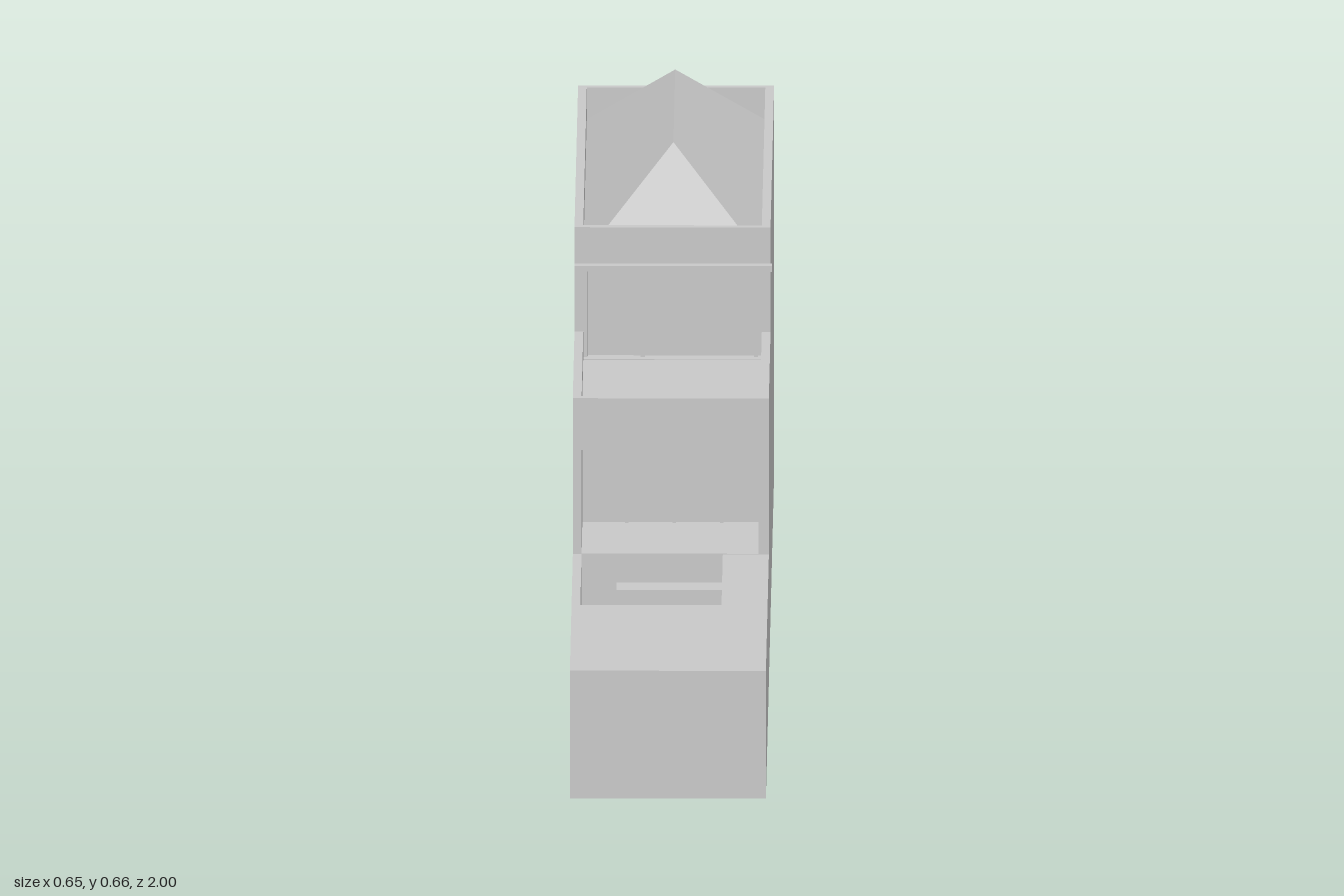
import * as THREE from 'three';

const W = 0.268, T = 0.012;          // house width, wall thickness
const V1 = 0.647, V2 = 1.018, V3 = 1.807, V4 = 2.036; // distances back from the front wall
const Y0 = 0.045, Y1 = 0.225, Y2 = 0.445, Y3 = 0.592; // storey heights

export function createModel() {
  const plaster = new THREE.MeshStandardMaterial({ color: 0xc9c9c9, side: THREE.DoubleSide, flatShading: true });
  plaster.name = 'grey plaster';
  const house = new THREE.Group();
  house.name = 'terracedHouse';

  const add = (name, geometry) => {
    const m = new THREE.Mesh(geometry, plaster);
    m.name = name;
    house.add(m);
    return m;
  };
  // Box by ranges: u across, y up, v towards the back
  const box = (name, u0, u1, y0, y1, v0, v1) => {
    const g = new THREE.BoxGeometry(u1 - u0, y1 - y0, v1 - v0);
    g.translate((u0 + u1) / 2, (y0 + y1) / 2, -(v0 + v1) / 2);
    return add(name, g);
  };
  const path = (pts) => pts.map(([a, b]) => new THREE.Vector2(a, b));
  const rect = (a0, a1, b0, b1) => [[a0, b0], [a1, b0], [a1, b1], [a0, b1]];
  const extrude = (pts, depth, holes = []) => {
    const s = new THREE.Shape(path(pts));
    holes.forEach((h) => s.holes.push(new THREE.Path(path(h))));
    return new THREE.ExtrudeGeometry(s, { depth, bevelEnabled: false });
  };
  // Horizontal slab from a plan outline in (u, v)
  const slab = (name, pts, y, h, holes) =>
    add(name, extrude(pts, h, holes).rotateX(-Math.PI / 2).translate(0, y, 0));
  // Side wall from a profile in (v, y)
  const side = (name, pts, u) =>
    add(name, extrude(pts, T, []).rotateY(Math.PI / 2).translate(u, 0, 0));
  // Cross wall from an outline in (u, y)
  const cross = (name, pts, v, holes) =>
    add(name, extrude(pts, T, holes).translate(0, 0, -v - T));

  // Stepped side walls
  const steps = [[0, Y0], [0, Y1], [V1, Y1], [V1, Y2], [V2, Y2], [V2, Y3], [V3, Y3]];
  side('rightWall', [...steps, [V3, 0.44], [V4, 0.44], [V4, Y0]], 0);
  side('leftWall', [...steps, [V3, Y0]], W - T);

  // Ground slab and deck, both open over the stair pit
  const plan = [[0, 0], [W, 0], [W, V3], [0, V4]];
  slab('groundSlab', plan, Y0, 0.006, [rect(T, W - T, 0.365, 0.66)]);
  slab('deck', plan, Y1 - T, T, [rect(T, 0.205, 0.365, 0.66)]);
  box('frontWall', 0, W, Y0, Y1, 0, T);
  box('pitFrontWall', T, W - T, Y0, Y1 - T, 0.355, 0.365);
  box('pitBackWall', T, W - T, Y0, Y1 - T, 0.66, 0.67);

  // Stair pit landing and flight
  box('pitLanding', T, 0.06, 0, Y0 + 0.004, 0.362, 0.455);
  box('lowerStep', 0.06, 0.247, 0.015, Y0 + 0.004, 0.37, 0.49);
  for (let i = 0; i < 5; i++) {
    box('stairTread', 0.06, 0.205, 0.05 + i * 0.03, 0.062 + i * 0.03, 0.455 + i * 0.041, 0.5 + i * 0.041);
  }

  // Middle storey: open porch with a glazed wall at the back
  cross('porchFront', rect(0, W, Y1, Y2), V1, [rect(T, W - 0.014, Y1 + 0.001, 0.372)]);
  box('porchBackWall', T, W - T, Y1, 0.385, 0.827, 0.837);
  box('porchTransom', T, W - T, 0.335, 0.342, 0.819, 0.827);
  for (const u of [0.07, 0.135, 0.2]) box('porchMullion', u, u + 0.005, Y1, 0.372, 0.821, 0.827);
  box('terraceFloor', T, W - T, 0.378, 0.405, V1 + T, V2 + 0.03);

  // Upper front: parapet band, thin ledge and recessed window
  cross('upperFront', rect(0, W, 0.4, Y3), V2, [rect(T, W - T, 0.406, 0.533)]);
  box('windowLedge', 0, W + 0.002, 0.533, 0.541, V2 - 0.014, V2);
  box('upperWindow', T, W - T, 0.405, 0.54, V2 + 0.026, V2 + 0.03);
  for (const u of [T, 0.09, 0.245]) box('upperMullion', u, u + 0.006, 0.405, 0.533, V2 + 0.014, V2 + 0.026);

  // Hip roof set inside the parapet
  const yb = 0.547, yr = 0.662, a = T, b = W - T, c = V2 + T, d = V3 - T, m = W / 2;
  const P = { fl: [a, yb, -c], fr: [b, yb, -c], bl: [a, yb, -d], br: [b, yb, -d], rf: [m, yr, -1.216], rb: [m, yr, -1.62] };
  const faces = ['fl fr rf', 'fr br rb', 'fr rb rf', 'br bl rb', 'bl fl rf', 'bl rf rb'];
  const roof = new THREE.BufferGeometry();
  roof.setAttribute('position', new THREE.Float32BufferAttribute(
    faces.flatMap((f) => f.split(' ').flatMap((k) => P[k])), 3));
  roof.computeVertexNormals();
  add('hipRoof', roof);

  // Upper back wall with balcony door
  cross('upperBackWall', rect(0, W, 0.39, Y3), V3 - T, [rect(0.035, 0.215, 0.402, 0.555)]);
  box('balconyDoor', 0.03, 0.22, 0.4, 0.56, V3 - 0.035, V3 - 0.03);
  for (const u of [0.035, 0.09, 0.15, 0.209]) box('doorMullion', u, u + 0.006, 0.4, 0.555, V3 - 0.03, V3 - 0.015);
  box('doorCanopy', 0.03, 0.22, 0.537, 0.545, V3, V3 + 0.012);
  box('doorPost', 0.213, 0.22, 0.42, 0.545, V3, V3 + 0.006);

  // Angled back: low wall, open patio, balcony with parapet
  const strip = [[W, V3], [0, V4], [0, V4 - 0.015], [W - 0.017, V3]];
  slab('angledWall', strip, Y0, Y1 - Y0);
  slab('balconyParapet', strip, 0.388, 0.052);
  slab('balconyFloor', [[0, V3 - T], [W, V3 - T], [W, V3], [0, V4]], 0.388, T);
  box('patioGlazing', T, W - T, Y1, 0.39, V3 - 0.02, V3 - 0.014);
  for (const u of [T, 0.09, 0.17, 0.248]) box('patioMullion', u, u + 0.007, Y1, 0.388, V3 - 0.014, V3 - 0.004);
  box('patioBench', T, 0.07, Y1, 0.25, V3 + 0.02, V3 + 0.13);

  // The plot lies at an angle to the street
  house.rotation.y = Math.asin(0.188);
  house.position.set(0.06, 0, 1);
  const model = new THREE.Group();
  model.name = 'house';
  model.add(house);
  return model;
}
